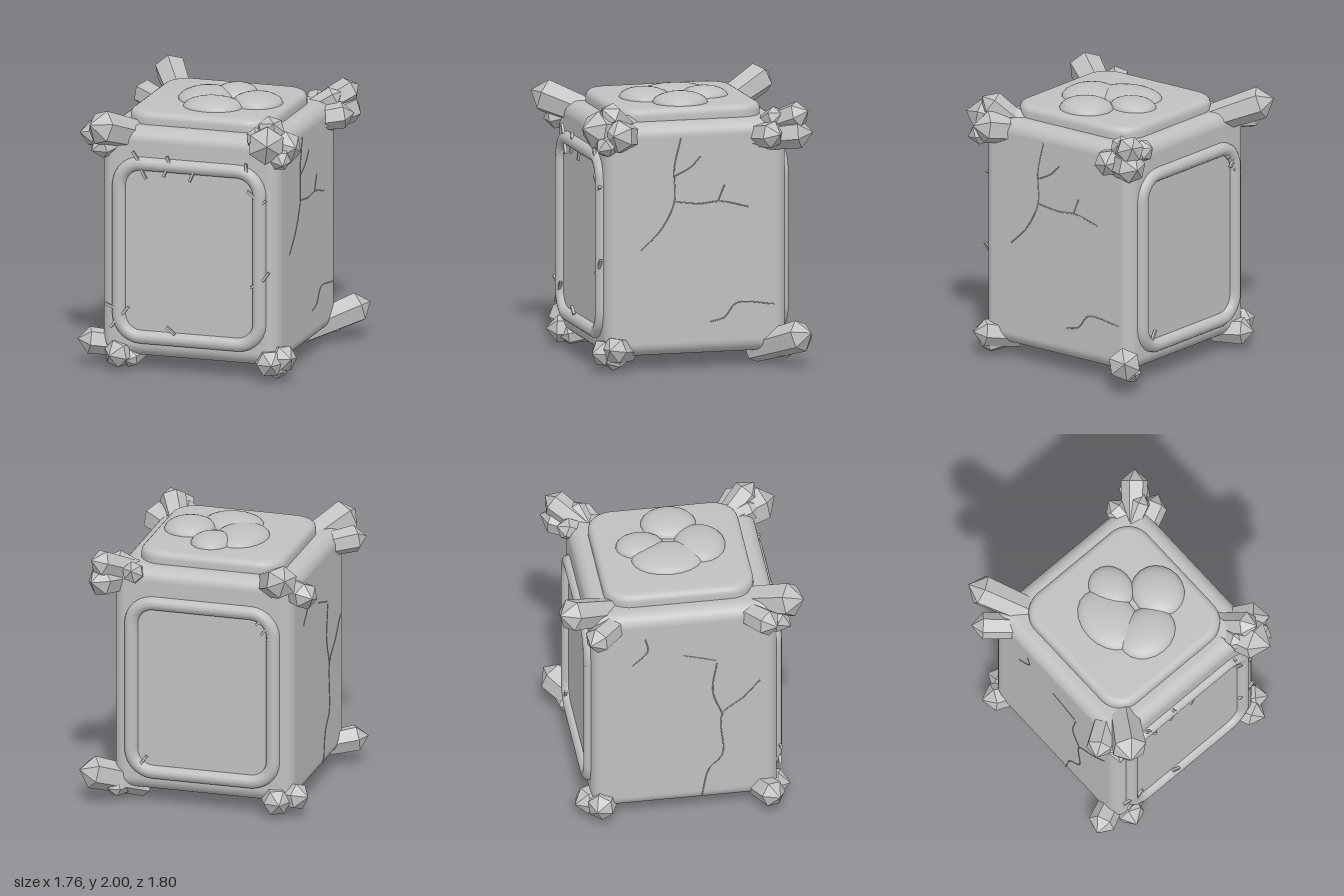
import * as THREE from 'three';
import { toCreasedNormals } from 'three/addons/utils/BufferGeometryUtils.js';
import { RoundedBoxGeometry } from 'three/addons/geometries/RoundedBoxGeometry.js';

const stone = new THREE.MeshStandardMaterial({ color: 0xc0c0c0 });
stone.name = 'grey stone';
const facetedStone = stone.clone();
facetedStone.flatShading = true;

const V = (p) => new THREE.Vector3(...p);
const CX = -0.0175, CZ = 0.0275; // body centre

function mesh(name, geometry, material = stone) {
  const m = new THREE.Mesh(geometry, material);
  m.name = name;
  return m;
}

function roundedRect(w, h, r) {
  const x = w / 2 - r, y = h / 2 - r, q = Math.PI / 2, s = new THREE.Shape();
  s.absarc(x, y, r, 0, q);
  s.absarc(-x, y, r, q, 2 * q);
  s.absarc(-x, -y, r, 2 * q, 3 * q);
  s.absarc(x, -y, r, 3 * q, 4 * q);
  s.closePath();
  return s;
}

// Six-sided pointed crystal from a buried base to its tip
function crystal(base, tip, r, spin) {
  const a = V(base), dir = V(tip).sub(a), len = dir.length();
  const profile = [[0, 0], [r * 0.85, 0], [r, len - r * 0.85], [0, len]];
  const g = new THREE.LatheGeometry(profile.map((p) => new THREE.Vector2(...p)), 6);
  g.rotateY(spin);
  const m = mesh('crystal', g, facetedStone);
  m.position.copy(a);
  m.quaternion.setFromUnitVectors(new THREE.Vector3(0, 1, 0), dir.normalize());
  return m;
}

// Base, tip and radius of each crystal, by corner
const clusters = {
  topFrontLeft: [
    [[0.47, 1.74, 0.45], [0.64, 1.82, 0.89], 0.14],
    [[0.5, 1.72, 0.48], [0.8, 1.78, 0.7], 0.12],
    [[0.5, 1.75, 0.5], [0.64, 1.96, 0.74], 0.1],
    [[0.48, 1.74, 0.5], [0.5, 1.86, 0.76], 0.08],
    [[0.55, 1.78, 0.5], [0.73, 1.66, 0.8], 0.08],
  ],
  topFrontRight: [
    [[-0.46, 1.72, 0.5], [-0.72, 1.88, 0.9], 0.13],
    [[-0.55, 1.72, 0.45], [-0.87, 1.76, 0.68], 0.1],
    [[-0.52, 1.75, 0.5], [-0.74, 1.66, 0.8], 0.09],
  ],
  topBackLeft: [
    [[0.58, 1.68, -0.42], [0.78, 1.74, -0.82], 0.11],
    [[0.52, 1.74, -0.48], [0.79, 1.9, -0.78], 0.1],
    [[0.55, 1.7, -0.42], [0.83, 1.74, -0.56], 0.1],
    [[0.52, 1.72, -0.5], [0.5, 1.83, -0.74], 0.08],
    [[0.5, 1.75, -0.5], [0.72, 1.88, -0.6], 0.08],
  ],
  topBackRight: [
    [[-0.45, 1.73, -0.45], [-0.72, 1.93, -0.9], 0.12],
    [[-0.55, 1.72, -0.42], [-0.87, 1.74, -0.7], 0.1],
  ],
  bottomFrontLeft: [
    [[0.5, 0.14, 0.5], [0.77, 0.19, 0.72], 0.1],
    [[0.5, 0.14, 0.5], [0.65, 0.15, 0.82], 0.1],
    [[0.5, 0.15, 0.5], [0.7, 0.08, 0.72], 0.08],
  ],
  bottomFrontRight: [
    [[-0.47, 0.14, 0.5], [-0.88, 0.21, 0.7], 0.1],
    [[-0.5, 0.12, 0.5], [-0.6, 0.13, 0.82], 0.1],
    [[-0.45, 0.12, 0.5], [-0.5, 0.08, 0.74], 0.07],
  ],
  bottomBackLeft: [
    [[0.47, 0.1, -0.45], [0.88, 0.27, -0.78], 0.12],
    [[0.55, 0.12, -0.5], [0.68, 0.12, -0.72], 0.07],
  ],
  bottomBackRight: [
    [[-0.5, 0.13, -0.5], [-0.82, 0.18, -0.64], 0.1],
    [[-0.5, 0.13, -0.5], [-0.64, 0.14, -0.78], 0.1],
  ],
};

// Chips around the frames: x, y, tilt
const frontChips = [
  [-0.42, 1.63, 0.6], [-0.36, 1.5, 0.5], [-0.165, 1.61, 0.4], [-0.19, 1.53, -0.4],
  [0.01, 1.51, -0.4], [0.43, 1.6, 0.1], [0.47, 1.41, 0.9], [0.55, 1.35, -0.9],
  [0.5, 0.73, -1.1], [0.58, 0.8, -0.6], [-0.62, 0.49, 1.2], [-0.5, 0.46, -0.7],
  [-0.59, 0.36, -0.6], [-0.15, 0.335, 0.9],
];
const backChips = [[-0.5, 1.45, 0.7], [-0.55, 1.37, -0.9], [-0.47, 1.52, 0.9], [0.42, 0.36, 0.6]];

// Side cracks as (z, y) runs
const cracks = {
  left: [
    [[0.45, 0.9], [0.3, 1.05], [0.2, 1.25], [0.2, 1.5], [0.15, 1.72]],
    [[0.19, 1.25], [0, 1.23], [-0.15, 1.24], [-0.36, 1.19]],
    [[-0.13, 1.24], [-0.18, 1.36]],
    [[0.2, 1.44], [0.08, 1.5], [0, 1.58]],
    [[-0.07, 0.35], [-0.18, 0.38], [-0.27, 0.48], [-0.56, 0.46]],
  ],
  right: [
    [[0.58, 1.17], [0.45, 1.02], [0.3, 0.89], [0.3, 0.52], [0.2, 0.4], [0.15, 0.17]],
    [[0.3, 0.89], [0.23, 1.1], [0.26, 1.36]],
    [[0.25, 1.38], [0.12, 1.42], [0.01, 1.45]],
    [[-0.27, 1.63], [-0.25, 1.52], [-0.36, 1.4]],
  ],
};

export function createModel() {
  const model = new THREE.Group();
  model.name = 'crystalCrate';

  // Body
  const body = mesh('body', new RoundedBoxGeometry(1.365, 1.72, 1.37, 6, 0.1));
  body.position.set(CX, 0.97, CZ);
  model.add(body);

  // Raised lid with rounded rim
  const lidGeo = new THREE.ExtrudeGeometry(roundedRect(0.995, 1.005, 0.14), {
    depth: 0.06, bevelThickness: 0.05, bevelSize: 0.05, bevelSegments: 5, curveSegments: 5,
  });
  lidGeo.rotateX(-Math.PI / 2);
  const lid = mesh('lid', toCreasedNormals(lidGeo, 0.7));
  lid.position.set(CX, 1.81, 0.0225);
  model.add(lid);

  // Domed lumps on the lid: x, z, half sizes
  for (const [x, z, rx, ry, rz] of [
    [0.045, -0.195, 0.155, 0.075, 0.18], [0.285, 0.05, 0.19, 0.085, 0.205],
    [0.01, 0.24, 0.225, 0.077, 0.19], [-0.13, -0.02, 0.2, 0.07, 0.265],
  ]) {
    const lump = mesh('lidLump', new THREE.SphereGeometry(1, 20, 14));
    lump.scale.set(rx, ry, rz);
    lump.position.set(x, 1.915, z);
    model.add(lump);
  }

  // Rolled frames on front and back, with chips
  const outline = roundedRect(1.08, 1.305, 0.17).getSpacedPoints(120).slice(0, -1);
  const path = new THREE.CatmullRomCurve3(outline.map((p) => new THREE.Vector3(p.x, p.y, 0)), true);
  const frameGeo = new THREE.TubeGeometry(path, 120, 0.052, 12, true);
  for (const [name, z, chips] of [['frontFrame', 0.708, frontChips], ['backFrame', -0.653, backChips]]) {
    const frame = mesh(name, frameGeo);
    frame.position.set(CX, 0.9175, z);
    model.add(frame);
    for (const [x, y, tilt] of chips) {
      const chip = mesh('chip', new THREE.BoxGeometry(0.018, 0.08, 0.02), facetedStone);
      chip.position.set(x, y, z + Math.sign(z) * 0.033);
      chip.rotation.z = tilt;
      model.add(chip);
    }
  }

  // Hairline cracks on both sides
  for (const [side, x] of [['left', 0.665], ['right', -0.7]]) {
    for (const run of cracks[side]) {
      const curve = new THREE.CatmullRomCurve3(run.map(([z, y]) => new THREE.Vector3(x, y, z)));
      model.add(mesh(side + 'Crack', new THREE.TubeGeometry(curve, 24, 0.004, 4)));
    }
  }

  // Corner crystals
  for (const [corner, list] of Object.entries(clusters)) {
    const group = new THREE.Group();
    group.name = corner + 'Crystals';
    list.forEach(([base, tip, r], i) => group.add(crystal(base, tip, r, i * 0.7 + 0.3)));
    model.add(group);
  }
  return model;
}
